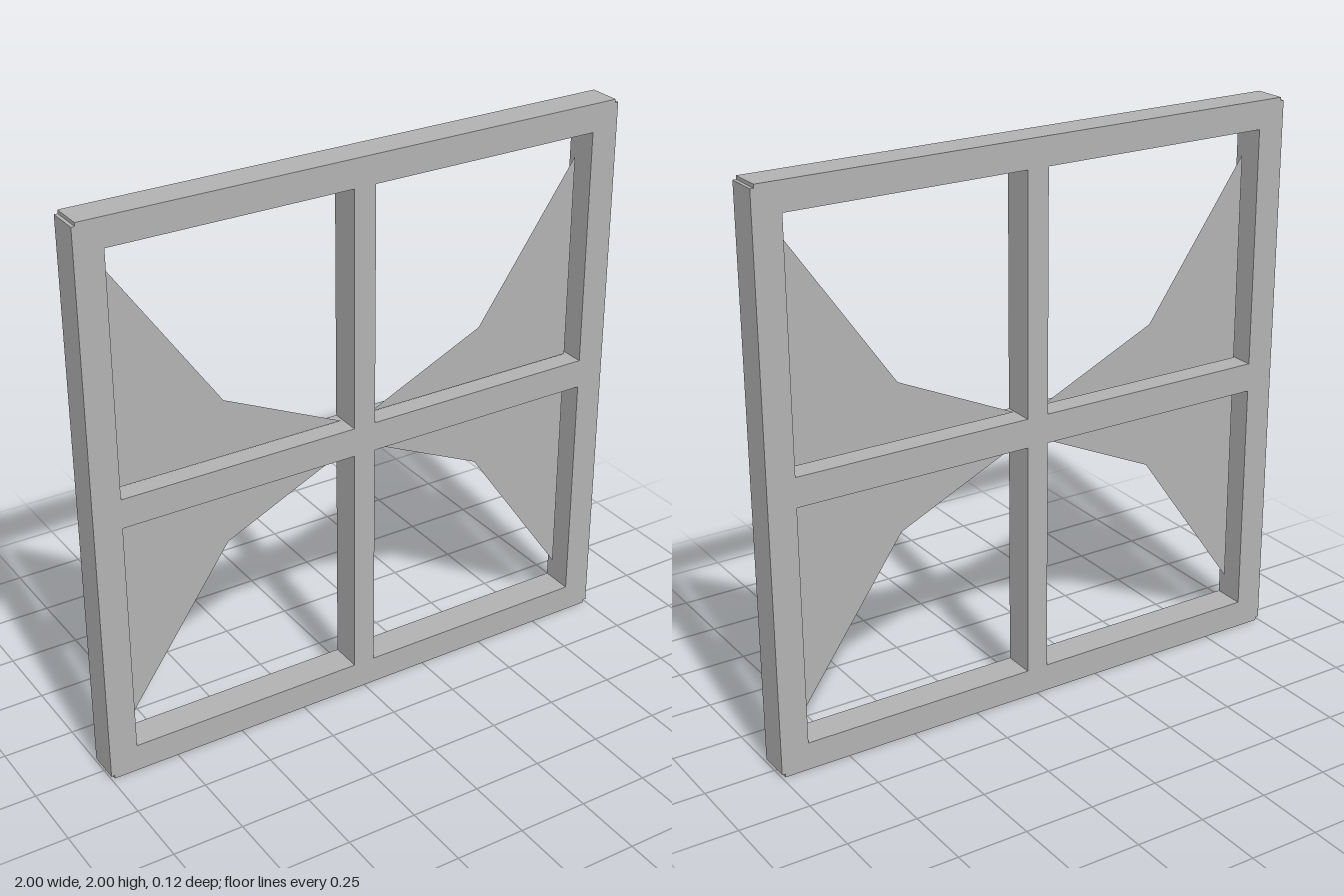
import * as THREE from 'three';

const DEPTH = 0.115; // frame thickness
const NOTCH = 0.012; // small step at each outer corner
const OUTER = 1;
const INNER = 0.9; // inside edge of the outer frame
const MULLION = 0.04; // half width of the vertical bar
const RAIL = 0.052; // half height of the crossing rail

const toPoints = (list) => list.map(([x, y]) => new THREE.Vector2(x, y));

export function createModel() {
  const grey = new THREE.MeshStandardMaterial({ color: 0xb2b2b2 });
  grey.name = 'grey';
  const panelGrey = grey.clone();
  panelGrey.side = THREE.DoubleSide;
  panelGrey.name = 'panel grey';

  const model = new THREE.Group();
  model.name = 'windowFrame';

  // Frame with notched corners and four panes cut out
  const a = OUTER, b = OUTER - NOTCH;
  const outline = new THREE.Shape(toPoints([
    [-b, -a], [b, -a], [b, -b], [a, -b], [a, b], [b, b],
    [b, a], [-b, a], [-b, b], [-a, b], [-a, -b], [-b, -b],
  ]));
  for (const sx of [-1, 1]) {
    for (const sy of [-1, 1]) {
      outline.holes.push(new THREE.Path(toPoints([
        [sx * MULLION, sy * RAIL], [sx * INNER, sy * RAIL],
        [sx * INNER, sy * INNER], [sx * MULLION, sy * INNER],
      ])));
    }
  }
  const frameGeometry = new THREE.ExtrudeGeometry(outline, { depth: DEPTH, bevelEnabled: false });
  frameGeometry.translate(0, 1, -DEPTH / 2);
  const frame = new THREE.Mesh(frameGeometry, grey);
  frame.name = 'frame';
  model.add(frame);

  // Flat corner panel in each pane, mirrored about the centre
  for (const sx of [-1, 1]) {
    for (const sy of [-1, 1]) {
      const shape = new THREE.Shape(toPoints([
        [0.058, 0.062], [0.876, 0.062], [0.876, 0.803], [0.497, 0.263],
      ].map(([x, y]) => [sx * x, sy * y])));
      const panel = new THREE.Mesh(new THREE.ShapeGeometry(shape), panelGrey);
      panel.name = (sy > 0 ? 'upper' : 'lower') + (sx > 0 ? 'Left' : 'Right') + 'Panel';
      panel.position.y = 1;
      model.add(panel);
    }
  }

  return model;
}
